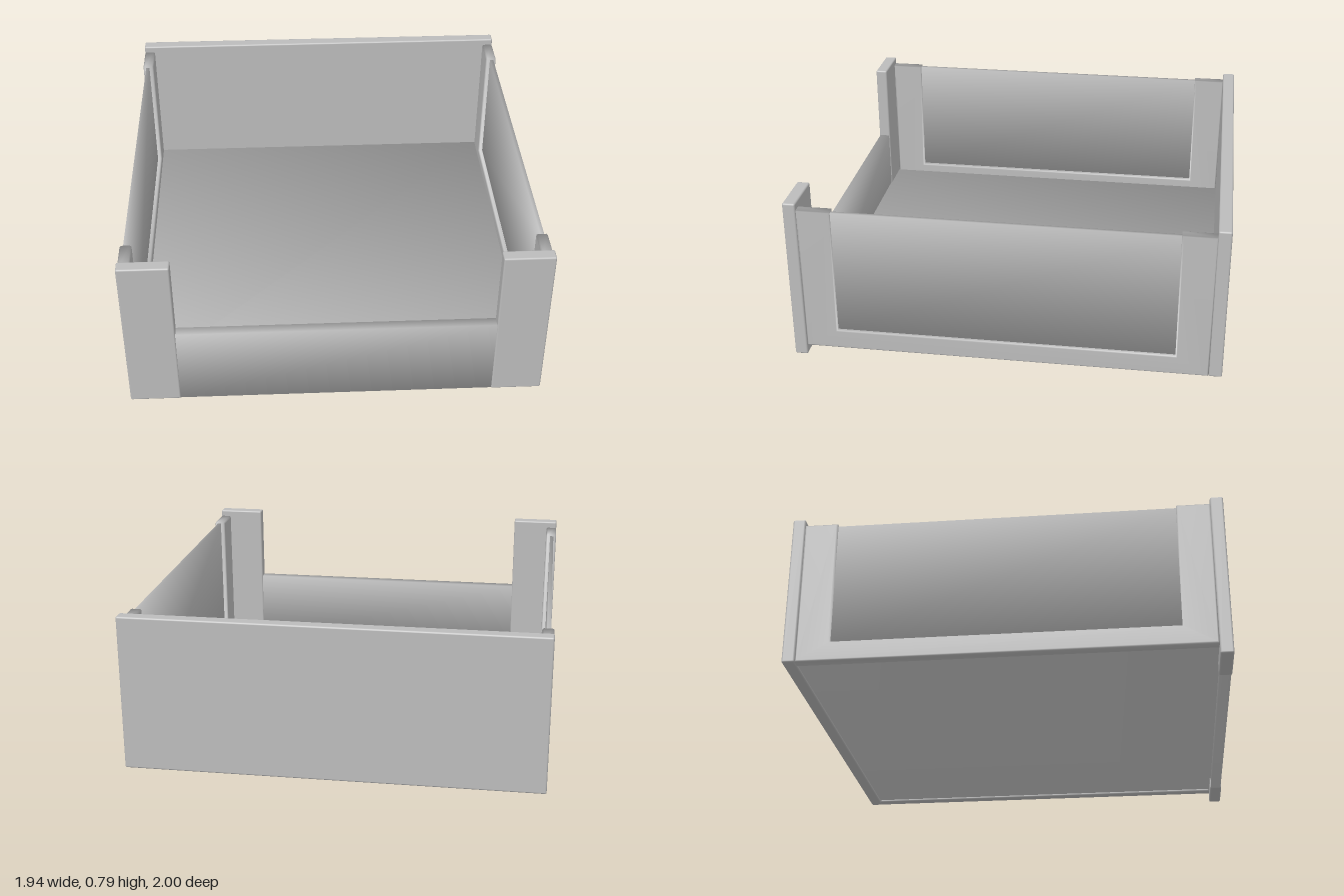
import * as THREE from 'three';
import { mergeVertices } from 'three/addons/utils/BufferGeometryUtils.js';
import { RoundedBoxGeometry } from 'three/addons/geometries/RoundedBoxGeometry.js';

export function createModel() {
  const group = new THREE.Group();
  group.name = 'drawer';
  const grey = new THREE.MeshStandardMaterial({ color: 0xbcbcbc });
  grey.name = 'grey';

  const add = (name, geometry, x, y, z) => {
    const mesh = new THREE.Mesh(geometry, grey);
    mesh.name = name;
    mesh.position.set(x, y, z);
    group.add(mesh);
    return mesh;
  };

  // Box whose normals blend across every corner
  const softBox = (w, h, d) => {
    const g = new THREE.BoxGeometry(w, h, d);
    const p = g.attributes.position, n = g.attributes.normal, v = new THREE.Vector3();
    for (let i = 0; i < p.count; i++) {
      v.set(Math.sign(p.getX(i)), Math.sign(p.getY(i)), Math.sign(p.getZ(i))).normalize();
      n.setXYZ(i, v.x, v.y, v.z);
    }
    return g;
  };

  // U-shaped side frame: rail with an upright at each end
  const frameGeometry = () => {
    const bevel = 0.008, depth = 0.055;
    const s = new THREE.Shape();
    [[-0.94, 0.05], [0.94, 0.05], [0.94, 0.757], [0.785, 0.757], [0.785, 0.145],
      [-0.785, 0.145], [-0.785, 0.757], [-0.94, 0.757]]
      .forEach(([z, y], i) => (i ? s.lineTo(z, y) : s.moveTo(z, y)));
    let g = new THREE.ExtrudeGeometry(s, {
      depth: depth - 2 * bevel, bevelEnabled: true, bevelSize: bevel,
      bevelThickness: bevel, bevelOffset: -bevel, bevelSegments: 2,
    });
    g.translate(0, 0, -(depth - 2 * bevel) / 2);
    g.rotateY(-Math.PI / 2);
    g.deleteAttribute('normal');
    g.deleteAttribute('uv');
    g = mergeVertices(g, 1e-4);
    g.computeVertexNormals();
    return g;
  };

  // Floor
  add('floor', softBox(1.84, 0.04, 1.89), 0, 0.08, 0);

  // Back wall
  add('backPanel', new RoundedBoxGeometry(1.94, 0.74, 0.06, 2, 0.008), 0, 0.42, -0.97);

  // Low front panel between the posts
  add('frontPanel', softBox(1.48, 0.395, 0.05), 0, 0.2, 0.97);

  // Front posts, side frames and thin side panels
  for (const [side, sx] of [['left', 1], ['right', -1]]) {
    add(side + 'FrontPost', new RoundedBoxGeometry(0.235, 0.79, 0.06, 2, 0.008), sx * 0.8525, 0.395, 0.97);
    add(side + 'SideFrame', frameGeometry(), sx * 0.9425, 0, 0);
    add(side + 'SidePanel', softBox(0.018, 0.62, 1.6), sx * 0.946, 0.44, 0);
  }
  return group;
}
